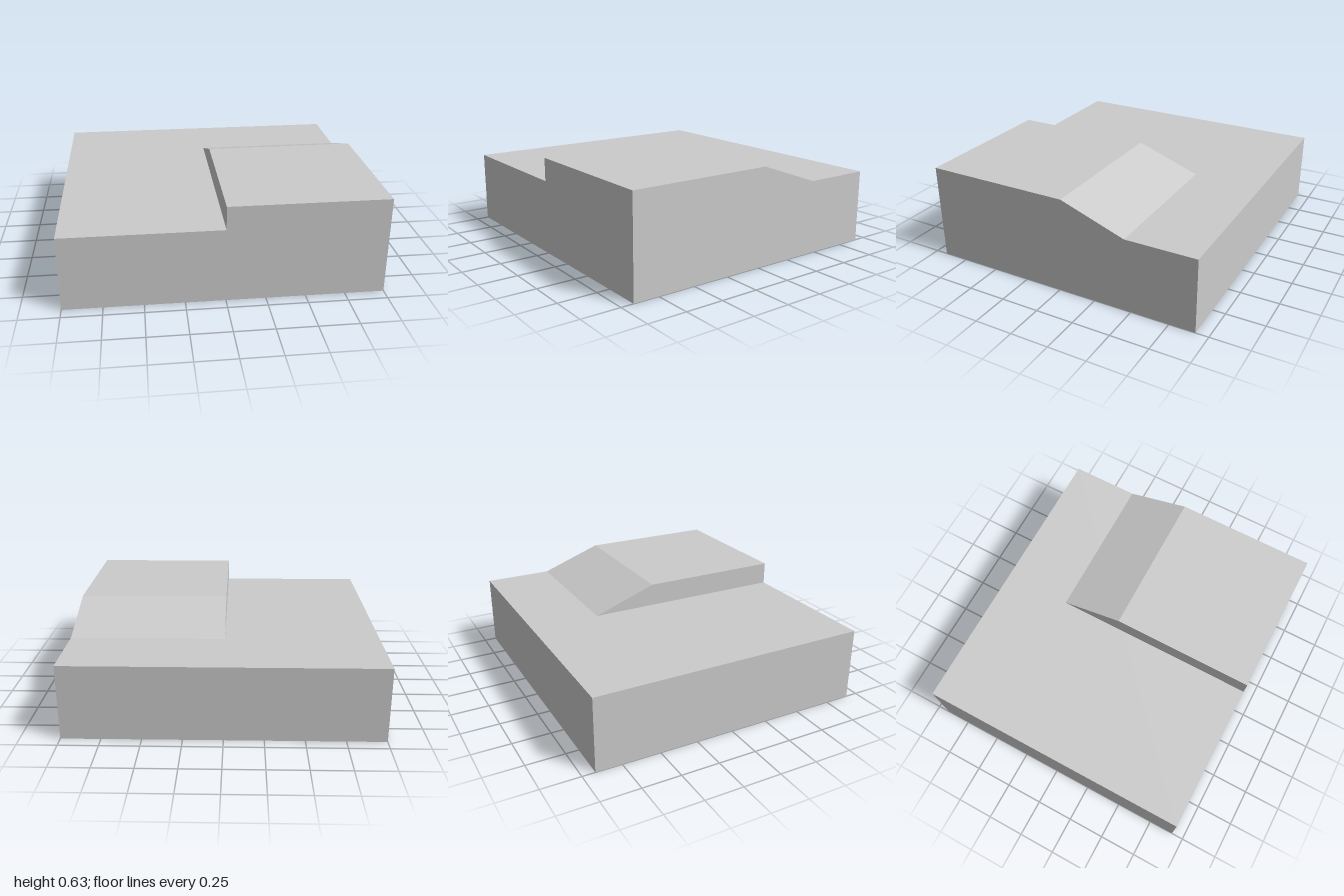
import * as THREE from 'three';

const HALF_DEPTH = 0.918;
const BASE_TOP = 0.484;
const RAISED_TOP = 0.635;

export function createModel() {
  const group = new THREE.Group();
  group.name = 'steppedBlock';
  const material = new THREE.MeshStandardMaterial({ color: 0xcccccc, flatShading: true });

  const add = (name, geometry) => {
    const mesh = new THREE.Mesh(geometry, material);
    mesh.name = name;
    group.add(mesh);
  };

  // Square slab under everything
  const base = new THREE.BoxGeometry(2, BASE_TOP, HALF_DEPTH * 2);
  base.translate(0, BASE_TOP / 2, 0);
  add('base', base);

  // Raised platform on the left half, sloping down to the slab at the back.
  // Side profile drawn with -z to the right, then extruded from x = 0 to x = 1.
  const profile = new THREE.Shape([
    new THREE.Vector2(-HALF_DEPTH, BASE_TOP),
    new THREE.Vector2(0.458, BASE_TOP),
    new THREE.Vector2(0.035, RAISED_TOP),
    new THREE.Vector2(-HALF_DEPTH, RAISED_TOP),
  ]);
  const platform = new THREE.ExtrudeGeometry(profile, { depth: 1, bevelEnabled: false });
  platform.rotateY(Math.PI / 2);
  add('raisedPlatformWithRamp', platform);

  return group;
}
